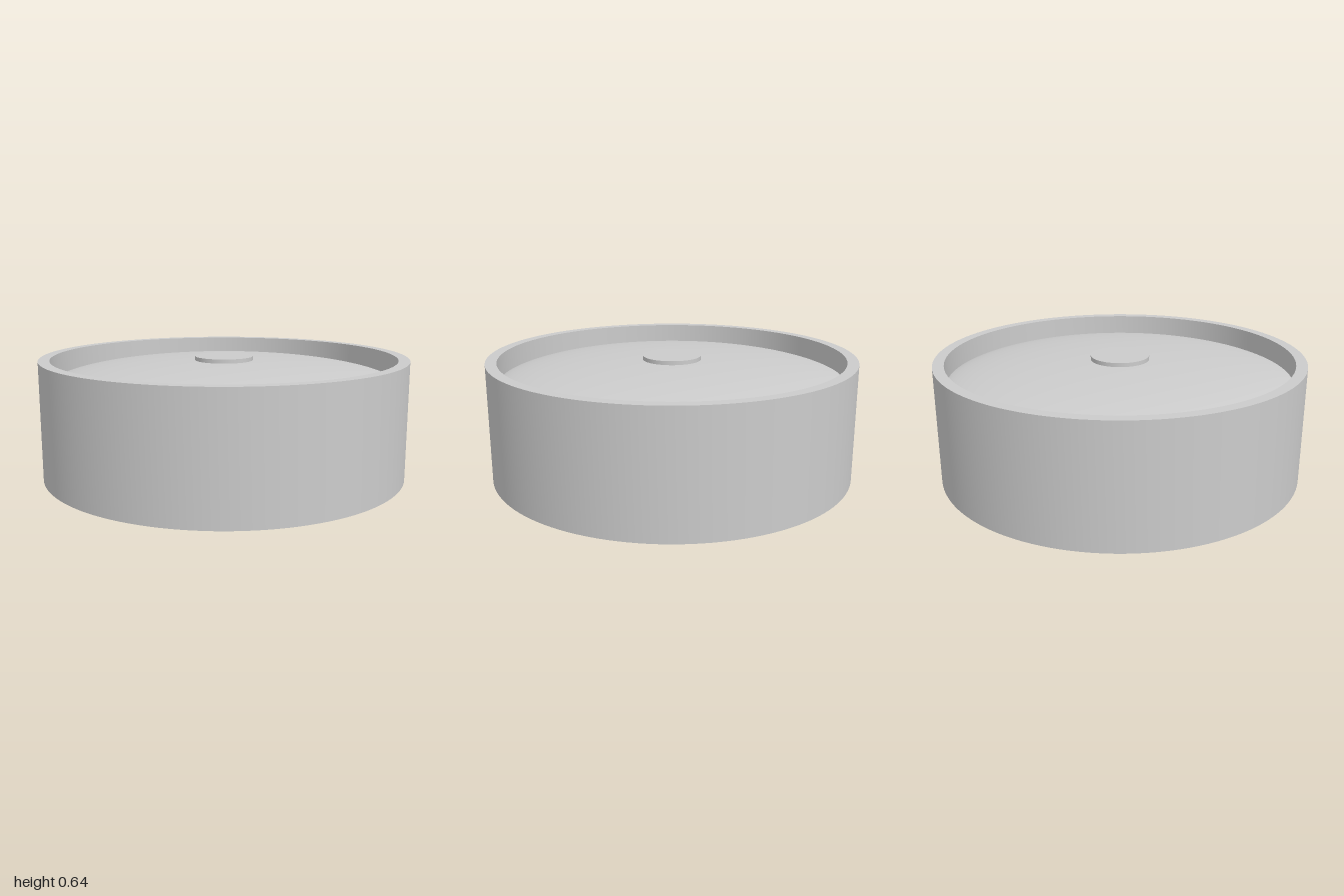
import * as THREE from 'three';
import { toCreasedNormals } from 'three/addons/utils/BufferGeometryUtils.js';

const HEIGHT = 0.64, OUTER = 1, INNER = 0.94, SEGMENTS = 128;

export function createModel() {
  const model = new THREE.Group();
  model.name = 'drum';
  const material = new THREE.MeshStandardMaterial({ color: 0xcccccc });
  const add = (parent, name, geometry) => {
    const mesh = new THREE.Mesh(geometry, material);
    mesh.name = name;
    parent.add(mesh);
    return mesh;
  };

  // Hollow shell with flat rims
  const wall = [[OUTER, 0], [OUTER, HEIGHT], [INNER, HEIGHT], [INNER, 0], [OUTER, 0]]
    .map(([x, y]) => new THREE.Vector2(x, y));
  add(model, 'shell', toCreasedNormals(new THREE.LatheGeometry(wall, SEGMENTS), 0.6));

  // Domed head: part of a flattened ellipsoid, steepest at the wall
  const domeRadius = 0.98, domeRise = 0.14, apex = HEIGHT / 2 - 0.02;
  const dome = [];
  const steps = 32, limit = Math.asin(INNER / domeRadius);
  for (let i = steps; i >= 0; i--) {
    const a = limit * i / steps;
    dome.push(new THREE.Vector2(domeRadius * Math.sin(a), apex - domeRise * (1 - Math.cos(a))));
  }
  const headGeometry = new THREE.LatheGeometry(dome, SEGMENTS);
  const discGeometry = new THREE.CylinderGeometry(0.16, 0.16, 0.04, 64);

  // Matching heads on both ends, each with a raised centre disc
  for (const [name, turn] of [['topHead', 0], ['bottomHead', Math.PI]]) {
    const head = new THREE.Group();
    head.name = name;
    head.position.y = HEIGHT / 2;
    head.rotation.x = turn;
    add(head, 'membrane', headGeometry);
    add(head, 'centreDisc', discGeometry).position.y = HEIGHT / 2 - 0.02;
    model.add(head);
  }
  return model;
}
